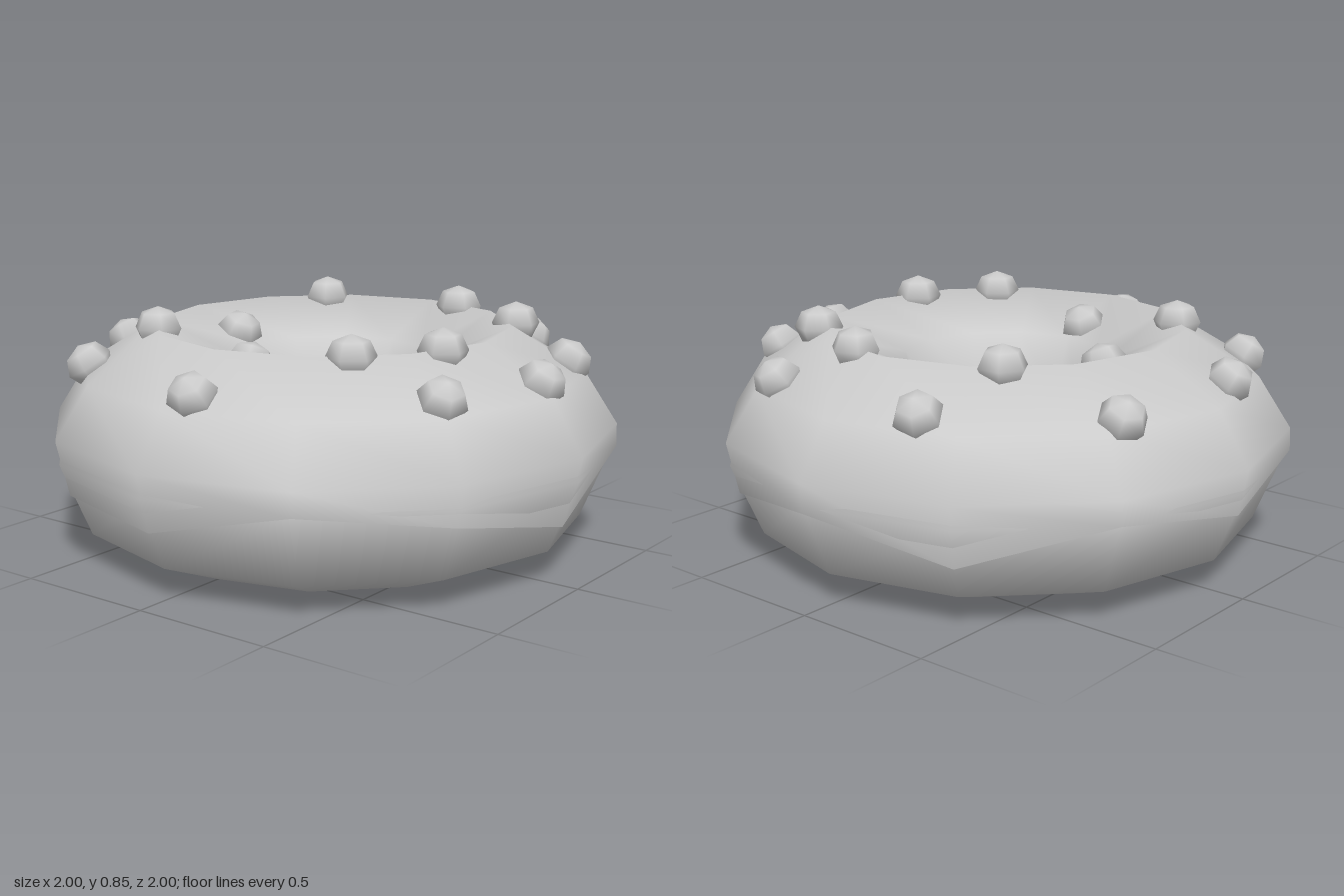
import * as THREE from 'three';
import { mergeVertices } from 'three/addons/utils/BufferGeometryUtils.js';

const SIDES = 12;
const RING = 0.63; // radius of the ring's centre line
const TUBE = 0.36; // radius of the dough's cross-section

// Icing section from the outer lip, over the crown, to the inner rim: [radius, height]
const ICING = [[0.98, 0.3], [1, 0.44], [0.885, 0.62], [RING, 0.775], [0.36, 0.66], [0.285, 0.44], [0.285, 0.38]];
// Height of the icing's wavy lower edge at each corner of the ring
const DRIPS = [0.24, 0.36, 0.3, 0.2, 0.36, 0.26, 0.34, 0.22, 0.36, 0.28, 0.36, 0.25];

// Sprinkle positions seen from above: [x, z]
const SPRINKLES = [
  [-0.29, -0.77], [0.37, -0.74], [0.145, -0.595], [-0.385, -0.48], [0.49, -0.43], [0.72, -0.4],
  [-0.765, -0.365], [-0.435, -0.01], [0.825, -0.03], [-0.8, 0.195], [0.58, 0.18], [-0.435, 0.425],
  [-0.015, 0.435], [0.41, 0.445], [0.72, 0.395], [-0.615, 0.585], [0.07, 0.815],
];

function icingGeometry() {
  const geo = new THREE.LatheGeometry(ICING.map(([r, y]) => new THREE.Vector2(r, y)), SIDES);
  const pos = geo.attributes.position;
  // Vary the lip, keeping it just outside the dough
  for (let i = 0; i <= SIDES; i++) {
    const y = DRIPS[i % SIDES];
    const r = 0.897 + (y - 0.105) * 0.412;
    const a = (i / SIDES) * Math.PI * 2;
    pos.setXYZ(i * ICING.length, r * Math.sin(a), y, r * Math.cos(a));
  }
  // Join the seam so the shading is smooth all round
  geo.deleteAttribute('uv');
  geo.deleteAttribute('normal');
  const joined = mergeVertices(geo, 1e-4);
  joined.computeVertexNormals();
  return joined;
}

export function createModel() {
  const group = new THREE.Group();
  group.name = 'doughnut';
  const material = new THREE.MeshStandardMaterial({ color: 0xcccccc });
  const icingMaterial = new THREE.MeshStandardMaterial({ color: 0xcccccc, side: THREE.DoubleSide });

  // Dough ring
  const dough = new THREE.Mesh(new THREE.TorusGeometry(RING, TUBE, 8, SIDES).rotateX(Math.PI / 2), material);
  dough.name = 'dough';
  dough.position.y = TUBE;
  group.add(dough);

  // Icing cap
  const icing = new THREE.Mesh(icingGeometry(), icingMaterial);
  icing.name = 'icing';
  group.add(icing);

  // Sprinkles, each tilted to the icing's slope
  const sprinkles = new THREE.Group();
  sprinkles.name = 'sprinkles';
  const bead = new THREE.SphereGeometry(0.085, 6, 4).scale(1, 0.88, 1);
  const up = new THREE.Vector3(0, 1, 0);
  SPRINKLES.forEach(([x, z], i) => {
    const r = Math.hypot(x, z);
    const slope = r > RING ? -0.61 : 0.43;
    const tilt = Math.abs(r - RING) < 0.09 ? 0 : -slope;
    const normal = new THREE.Vector3((x / r) * tilt, 1, (z / r) * tilt).normalize();
    const mesh = new THREE.Mesh(bead, material);
    mesh.name = `sprinkle${i + 1}`;
    mesh.position.set(x, 0.78 + slope * (r - RING), z);
    mesh.quaternion.setFromUnitVectors(up, normal);
    mesh.rotateY(i * 0.7);
    sprinkles.add(mesh);
  });
  group.add(sprinkles);

  return group;
}
